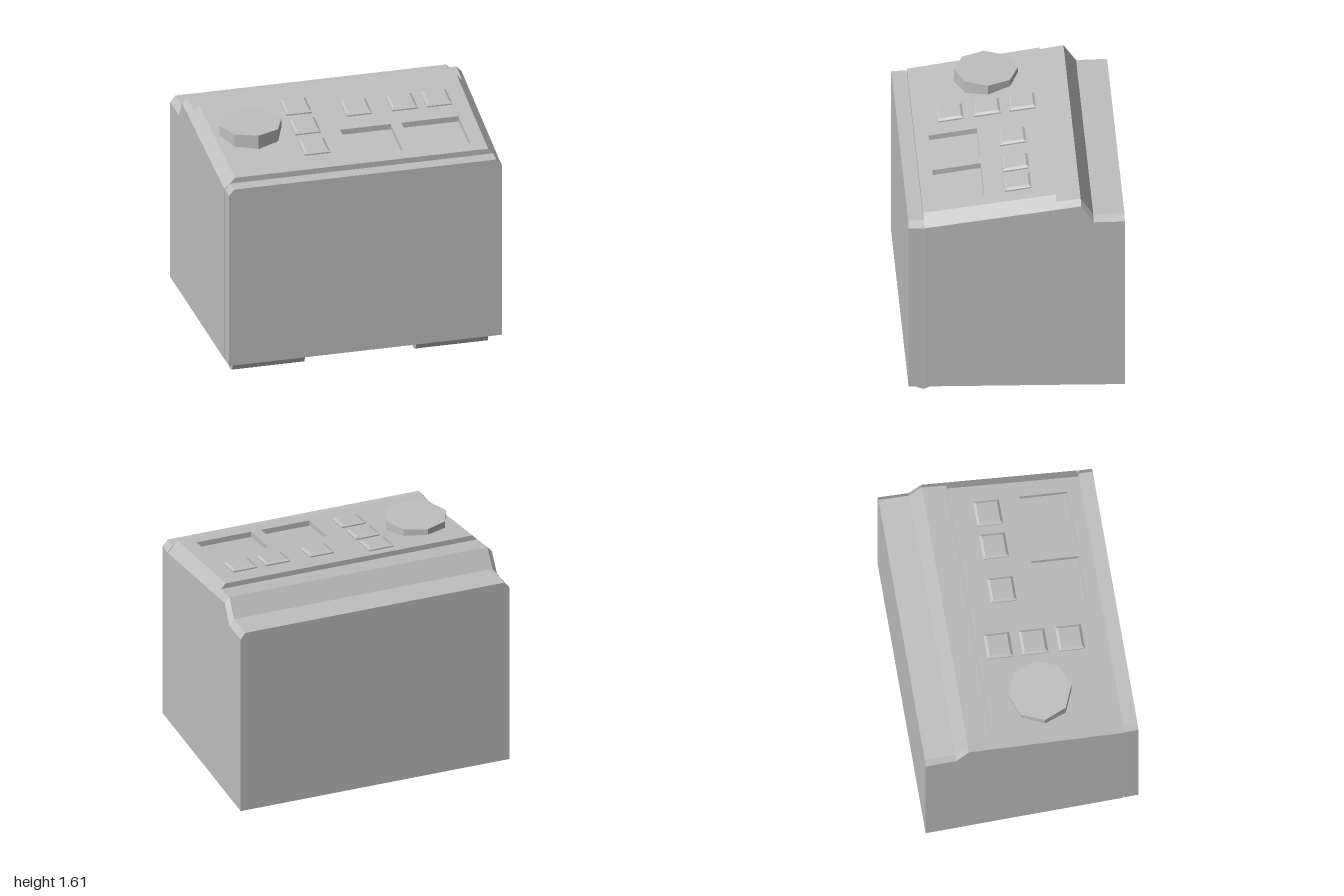
import * as THREE from 'three';

const grey = new THREE.MeshStandardMaterial({ color: 0xbfbfbf, flatShading: true });
grey.name = 'plain grey';

// Height of the sloping control panel at depth z
const slope = (z) => 1.465 + (0.64 - z) * 0.1374;

// Shear a geometry so that its y = 0 plane lies on the panel slope
function layOnSlope(geo) {
  const p = geo.attributes.position;
  for (let i = 0; i < p.count; i++) p.setY(i, p.getY(i) + slope(p.getZ(i)));
  geo.computeVertexNormals();
  return geo;
}

// Loft of six-sided sections from front to back; the panel opening is left out
function loft(sections) {
  const rings = sections.map(({ z, w, b, c, t, top }) =>
    [[-w, b], [w, b], [w, c], [t, top], [-t, top], [-w, c]].map(([x, y]) => [x, y, z]));
  const out = [];
  const tri = (...pts) => pts.forEach((p) => out.push(...p));
  for (let s = 0; s < rings.length - 1; s++) {
    const A = rings[s], B = rings[s + 1];
    for (let i = 0; i < 6; i++) {
      if (i === 3 && sections[s].open) continue;
      const j = (i + 1) % 6;
      tri(A[i], B[i], B[j]);
      tri(A[i], B[j], A[j]);
    }
  }
  const F = rings[0], R = rings[rings.length - 1];
  for (let i = 1; i < 5; i++) {
    tri(F[0], F[i], F[i + 1]);
    tri(R[0], R[i + 1], R[i]);
  }
  const geo = new THREE.BufferGeometry();
  geo.setAttribute('position', new THREE.Float32BufferAttribute(out, 3));
  geo.computeVertexNormals();
  return geo;
}

// Shape outline given as [x, z] corners, seen from above
const outline = (pts, Type) => new Type(pts.map(([x, z]) => new THREE.Vector2(x, -z)));

export function createModel() {
  const model = new THREE.Group();
  model.name = 'controlBox';
  const add = (name, geo, x = 0, y = 0, z = 0) => {
    const mesh = new THREE.Mesh(geo, grey);
    mesh.name = name;
    mesh.position.set(x, y, z);
    model.add(mesh);
  };

  // Casing: front cover, narrow seam, body, step, rear ridge and rear ledge
  add('casing', loft([
    { z: 0.745, w: 0.97, b: 0.08, c: 1.385, t: 0.932, top: 1.428 },
    { z: 0.646, w: 0.973, b: 0.08, c: 1.385, t: 0.935, top: 1.428 },
    { z: 0.646, w: 0.96, b: 0.09, c: 1.375, t: 0.92, top: 1.415 },
    { z: 0.64, w: 0.96, b: 0.09, c: 1.375, t: 0.92, top: 1.415 },
    { z: 0.64, w: 0.975, b: 0.08, c: 1.385, t: 0.9, top: 1.465, open: true },
    { z: -0.275, w: 0.991, b: 0.067, c: 1.512, t: 0.918, top: slope(-0.275) },
    { z: -0.275, w: 0.991, b: 0.067, c: 1.512, t: 0.953, top: 1.553 },
    { z: -0.443, w: 0.994, b: 0.064, c: 1.535, t: 0.96, top: 1.576 },
    { z: -0.53, w: 0.996, b: 0.063, c: 1.402, t: 0.962, top: 1.447 },
    { z: -0.745, w: 1.0, b: 0.06, c: 1.402, t: 0.965, top: 1.447 },
  ]));

  // Control panel with two sunken windows
  const corners = [[-0.9, 0.64], [0.9, 0.64], [0.918, -0.275], [-0.918, -0.275]];
  const panel = outline(corners, THREE.Shape);
  for (const [x0, x1] of [[-0.04, 0.32], [0.395, 0.8]]) {
    panel.holes.push(outline([[x0, 0.545], [x0, 0.212], [x1, 0.212], [x1, 0.545]], THREE.Path));
  }
  const depth = 0.04;
  const panelGeo = new THREE.ExtrudeGeometry(panel, { depth, bevelEnabled: false });
  add('controlPanel', layOnSlope(panelGeo.rotateX(-Math.PI / 2).translate(0, -depth, 0)));
  const floorGeo = new THREE.ShapeGeometry(outline(corners, THREE.Shape));
  add('windowFloor', layOnSlope(floorGeo.rotateX(-Math.PI / 2).translate(0, -depth, 0)));

  // Square buttons with bevelled tops
  const r = 0.09 * Math.SQRT2;
  const profile = [[r, -0.01], [r, 0.01], [r - 0.025, 0.022], [0, 0.022]]
    .map(([x, y]) => new THREE.Vector2(x, y));
  const spots = [[-0.27, -0.115], [-0.27, 0.13], [-0.27, 0.385],
    [0.135, -0.023], [0.46, -0.023], [0.705, -0.023]];
  for (const [x, z] of spots) {
    const button = new THREE.LatheGeometry(profile, 4, Math.PI / 4).translate(x, 0, z);
    add('button', layOnSlope(button));
  }

  // Eight-sided upright knob
  add('knob', new THREE.CylinderGeometry(0.22, 0.22, 0.125, 8), -0.653, 1.5475, 0.11);

  // Rounded feet under the front edge
  const foot = new THREE.Shape([[0.71, 0.09], [0.708, 0.07], [0.69, 0.022], [0.637, 0],
    [0.585, 0.022], [0.565, 0.07], [0.563, 0.09]].map(([z, y]) => new THREE.Vector2(-z, y)));
  for (const x of [-0.935, 0.37]) {
    const geo = new THREE.ExtrudeGeometry(foot, { depth: 0.515, bevelEnabled: false });
    add('foot', geo.rotateY(Math.PI / 2), x);
  }
  return model;
}
